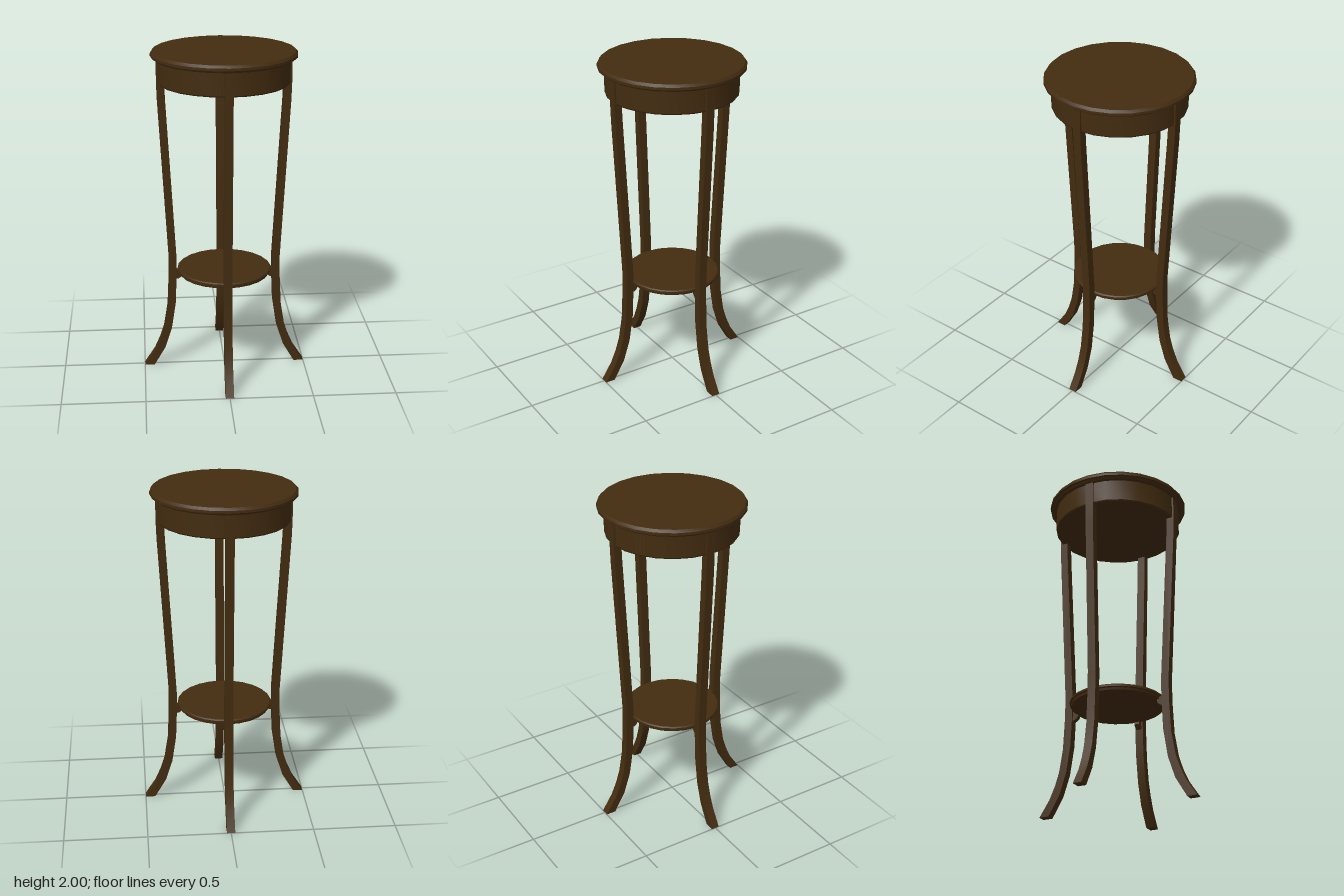
import * as THREE from 'three';
import { toCreasedNormals } from 'three/addons/utils/BufferGeometryUtils.js';

const darkWood = new THREE.MeshStandardMaterial({ color: 0x432c10 });
darkWood.name = 'darkWood';

// Round part turned from a [radius, height] profile running bottom to top
function turned(name, profile, sides = 24) {
  const points = profile.map(([r, y]) => new THREE.Vector2(r, y));
  const geometry = toCreasedNormals(new THREE.LatheGeometry(points, sides), 0.5);
  const mesh = new THREE.Mesh(geometry, darkWood);
  mesh.name = name;
  return mesh;
}

// Side outline in the x-y plane, extruded to a centred width
function plank(name, outline, width) {
  const shape = new THREE.Shape(outline.map(([x, y]) => new THREE.Vector2(x, y)));
  const geometry = new THREE.ExtrudeGeometry(shape, { depth: width, bevelEnabled: false });
  geometry.translate(0, 0, -width / 2);
  const mesh = new THREE.Mesh(toCreasedNormals(geometry, 0.5), darkWood);
  mesh.name = name;
  return mesh;
}

// Leg: tapers inward to the shelf, then sweeps out to the foot
const legOutline = [
  [0.44, 0], [0.5, 0], [0.435, 0.1], [0.4, 0.18], [0.375, 0.26], [0.352, 0.4],
  [0.343, 0.58], [0.341, 0.72], [0.394, 1.7], [0.397, 1.8], [0.397, 1.96],
  [0.35, 1.96], [0.35, 1.8], [0.346, 1.7], [0.293, 0.72], [0.295, 0.58],
  [0.302, 0.42], [0.328, 0.25], [0.37, 0.12],
];

// Small scrolled bracket under the shelf edge
const bracketOutline = [
  [0.3, 0.578], [0.3, 0.64], [0.262, 0.62], [0.26, 0.602], [0.268, 0.59], [0.28, 0.58],
];

export function createModel() {
  const table = new THREE.Group();
  table.name = 'plantStand';

  table.add(turned('tableTop', [
    [0, 1.955], [0.41, 1.955], [0.418, 1.968], [0.43, 1.97], [0.43, 1.985], [0.418, 2], [0, 2],
  ]));
  table.add(turned('apron', [[0, 1.812], [0.385, 1.812], [0.39, 1.82], [0.39, 1.957], [0, 1.957]]));
  table.add(turned('shelf', [
    [0, 0.617], [0.275, 0.617], [0.278, 0.63], [0.287, 0.634], [0.287, 0.645], [0.28, 0.651], [0, 0.651],
  ]));

  // Four legs with their brackets
  for (let i = 0; i < 4; i++) {
    const leg = new THREE.Group();
    leg.name = 'leg' + (i + 1);
    leg.add(plank('legPost', legOutline, 0.05), plank('shelfBracket', bracketOutline, 0.03));
    leg.rotation.y = i * Math.PI / 2;
    table.add(leg);
  }
  return table;
}
